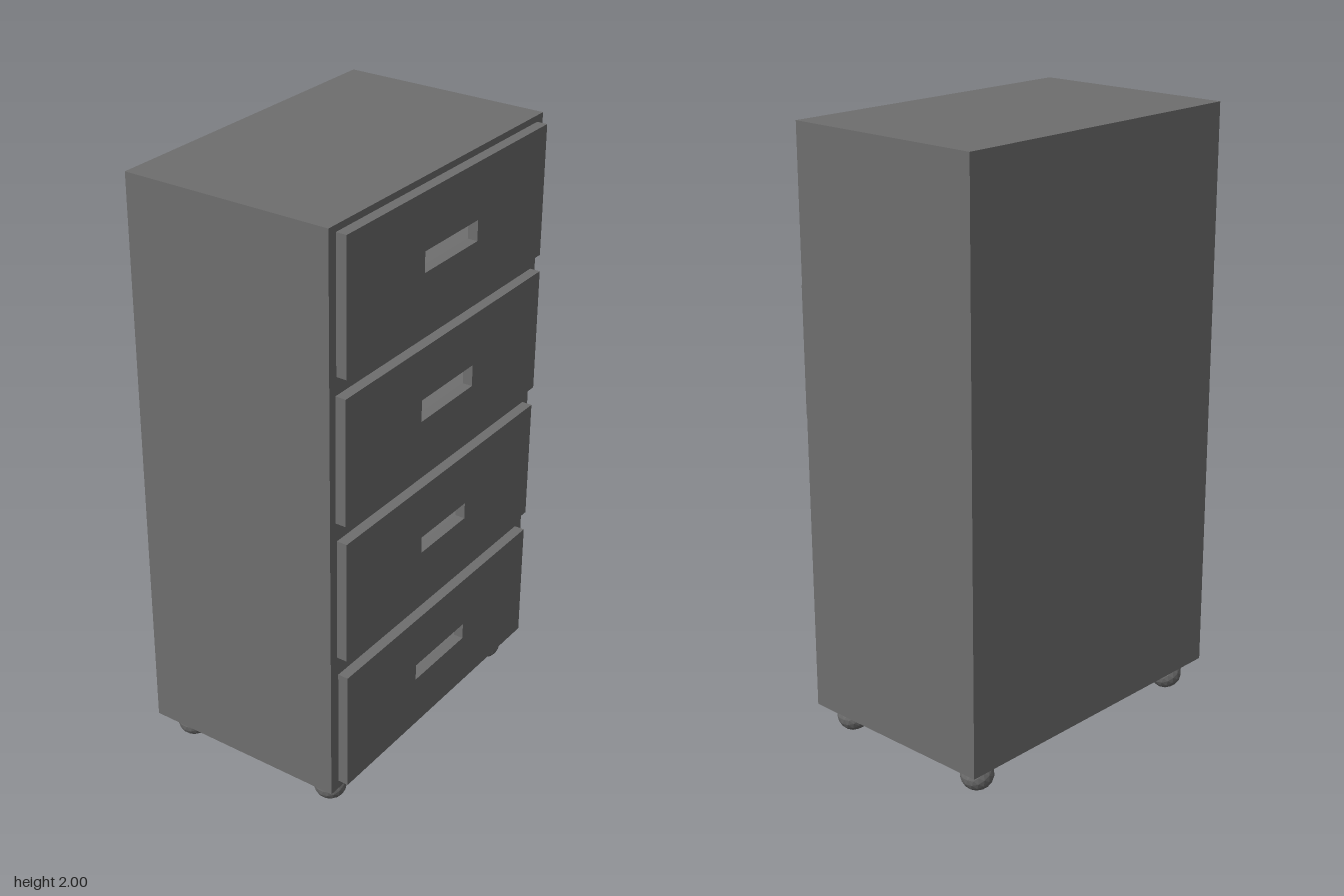
import * as THREE from 'three';

const dark = new THREE.MeshStandardMaterial({ color: 0x6e6e6e, flatShading: true });
const light = new THREE.MeshStandardMaterial({ color: 0xcccccc, flatShading: true });

const BACK = -0.37, FACE = 0.335, FRONT = 0.37;

// drawer: half width, bottom, top; grip: half width, bottom, top
const DRAWERS = [
  { w: 0.521, y0: 1.55, y1: 1.979, gw: 0.14, g0: 1.73, g1: 1.797 },
  { w: 0.526, y0: 1.079, y1: 1.492, gw: 0.14, g0: 1.249, g1: 1.321 },
  { w: 0.521, y0: 0.603, y1: 1.016, gw: 0.124, g0: 0.78, g1: 0.836 },
  { w: 0.516, y0: 0.127, y1: 0.537, gw: 0.14, g0: 0.304, g1: 0.36 },
];

function add(parent, name, geometry, material, x = 0, y = 0, z = 0) {
  const mesh = new THREE.Mesh(geometry, material);
  mesh.name = name;
  mesh.position.set(x, y, z);
  parent.add(mesh);
  return mesh;
}

function rectangle(PathType, w, y0, y1) {
  return new PathType([[-w, y0], [w, y0], [w, y1], [-w, y1]].map(([x, y]) => new THREE.Vector2(x, y)));
}

// drawer front with a rectangular grip opening and a pale plate at its bottom
function makeDrawer({ w, y0, y1, gw, g0, g1 }) {
  const drawer = new THREE.Group();
  const shape = rectangle(THREE.Shape, w, y0, y1);
  shape.holes.push(rectangle(THREE.Path, gw, g0, g1));
  const panel = new THREE.ExtrudeGeometry(shape, { depth: FRONT - FACE, bevelEnabled: false });
  add(drawer, 'drawerFront', panel, dark, 0, 0, FACE);
  add(drawer, 'gripRecess', new THREE.PlaneGeometry(gw * 2, g1 - g0), light, 0, (g0 + g1) / 2, FACE + 0.002);
  return drawer;
}

export function createModel() {
  const model = new THREE.Group();
  model.name = 'drawerCabinet';

  // cabinet body
  add(model, 'cabinetBody', new THREE.BoxGeometry(1.108, 1.902, FACE - BACK), dark, 0, 1.049, (FACE + BACK) / 2);

  // four drawers, top to bottom
  DRAWERS.forEach((spec, i) => {
    const drawer = makeDrawer(spec);
    drawer.name = `drawer${i + 1}`;
    model.add(drawer);
  });

  // ball feet
  const ball = new THREE.IcosahedronGeometry(0.054, 2);
  for (const x of [-0.464, 0.464]) {
    for (const z of [-0.295, 0.265]) add(model, 'ballFoot', ball, dark, x, 0.054, z);
  }
  return model;
}
